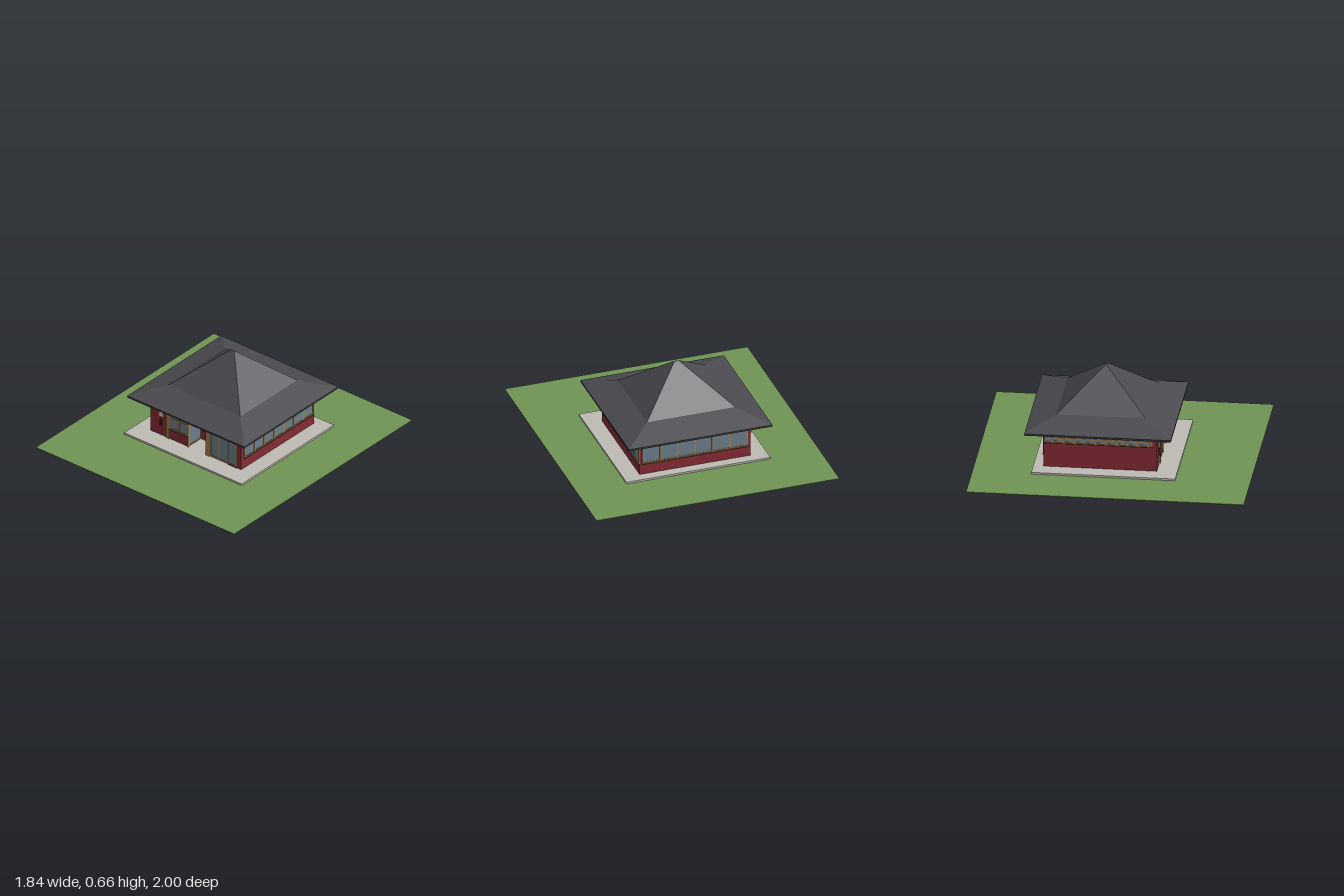
import * as THREE from 'three';

const mat = (name, color, side = THREE.FrontSide) => {
  const m = new THREE.MeshStandardMaterial({ color, side });
  m.name = name;
  return m;
};

export function createModel() {
  const grass = mat('grass green', 0x6f9455);
  const paving = mat('paving grey', 0xbebab4);
  const red = mat('wall red', 0x842a35);
  const wood = mat('wood', 0xa37d4e);
  const glass = mat('window glass', 0x6c7e89);
  const slate = mat('roof slate', 0x4b4a50);
  const fasciaDark = mat('fascia dark', 0x3a393e);
  const pale = mat('pale panel', 0xcac8c4);
  const brown = mat('door frame brown', 0x6a5238);
  const maroon = mat('dark maroon', 0x421a20);

  const model = new THREE.Group();
  model.name = 'pavilion';

  // box given by its extents
  const box = (parent, name, m, x0, x1, y0, y1, z0, z1) => {
    const mesh = new THREE.Mesh(new THREE.BoxGeometry(x1 - x0, y1 - y0, z1 - z0), m);
    mesh.position.set((x0 + x1) / 2, (y0 + y1) / 2, (z0 + z1) / 2);
    mesh.name = name;
    parent.add(mesh);
    return mesh;
  };

  // glazed strip facing local +z, centred on local x, with mullions and optional transoms
  const glazing = (name, x, z, turn, width, y0, y1, panes, transoms = [], sill = false) => {
    const g = new THREE.Group();
    g.name = name;
    const h = width / 2, b = 0.006;
    box(g, 'glass', glass, -h, h, y0, y1, -0.002, 0.003);
    for (let i = 0; i <= panes; i++) {
      const u = -h + b + (width - 2 * b) * i / panes;
      box(g, 'mullion', wood, u - b, u + b, y0, y1, -0.002, 0.007);
    }
    for (const y of [y0 + b, y1 - b, ...transoms])
      box(g, 'rail', wood, -h, h, y - b * 0.8, y + b * 0.8, -0.002, 0.006);
    if (sill) box(g, 'sill', brown, -h, h, y0 - 0.006, y0 + 0.002, -0.002, 0.011);
    g.position.set(x, 0, z);
    g.rotation.y = turn;
    model.add(g);
  };

  // site
  box(model, 'lawn', grass, -0.92, 0.92, 0, 0.006, -1, 1);
  box(model, 'pavedSlab', paving, -0.545, 0.545, 0.002, 0.02, -0.575, 0.462);

  // walls: floor plan with a recessed entrance
  const front = 0.315, back = -0.5, side = 0.42, recess = 0.17, top = 0.3;
  const doorL = -0.07, doorR = 0.098;
  const plan = new THREE.Shape([
    [-side, front], [doorL, front], [doorL, recess], [doorR, recess],
    [doorR, front], [side, front], [side, back], [-side, back],
  ].map(([x, z]) => new THREE.Vector2(x, -z)));
  const walls = new THREE.Mesh(
    new THREE.ExtrudeGeometry(plan, { depth: top - 0.015, bevelEnabled: false }), red);
  walls.rotation.x = -Math.PI / 2;
  walls.position.y = 0.015;
  walls.name = 'walls';
  model.add(walls);

  // windows on every side
  glazing('frontLeftWindow', -0.157, front, 0, 0.174, 0.105, top, 2, [0.247, 0.195], true);
  glazing('frontRightWindow', 0.257, front, 0, 0.256, 0.025, top, 3, [0.247]);
  glazing('sideWindowStrip', side, -0.105, Math.PI / 2, 0.78, 0.105, 0.25, 7, [], true);
  glazing('rearWindowStrip', 0, back, Math.PI, 0.8, 0.105, 0.25, 6, [], true);
  glazing('highWindowStrip', -side, -0.105, -Math.PI / 2, 0.78, 0.208, 0.25, 7, [], true);

  // entrance: glazed cheeks, transom lights and double door
  const midZ = (front + recess) / 2, depth = front - recess;
  glazing('entranceCheek', doorL, midZ, Math.PI / 2, depth, 0.025, top, 1, [0.247]);
  glazing('entranceCheek', doorR, midZ, -Math.PI / 2, depth, 0.025, top, 1, [0.247]);
  glazing('doorTransom', (doorL + doorR) / 2, recess, 0, doorR - doorL, 0.245, top, 2);
  const mid = (doorL + doorR) / 2, leaf = (doorR - doorL) / 2;
  for (const s of [-1, 1]) {
    const door = new THREE.Group();
    door.name = 'doorLeaf';
    door.position.set(mid + s * leaf / 2, 0, recess);
    const h = leaf / 2;
    box(door, 'doorFrame', brown, -h, h, 0.02, 0.245, -0.002, 0.004);
    box(door, 'doorPane', pale, -h + 0.006, h - 0.006, 0.1, 0.217, 0, 0.007);
    box(door, 'doorGlass', glass, -h + 0.006, h - 0.006, 0.222, 0.238, 0, 0.007);
    box(door, 'doorPanel', red, -h + 0.006, h - 0.006, 0.026, 0.092, 0, 0.007);
    box(door, 'doorHandle', maroon, -s * (h - 0.009) - 0.002, -s * (h - 0.009) + 0.002,
      0.1, 0.14, 0.005, 0.014);
    model.add(door);
  }

  // timber posts on the front
  box(model, 'frontPost', wood, -0.272, -0.244, 0.02, top, front - 0.004, front + 0.008);
  box(model, 'entrancePost', wood, doorR - 0.001, 0.13, 0.02, top, front - 0.02, front + 0.008);
  box(model, 'entrancePost', wood, doorL - 0.008, doorL + 0.004, 0.02, top, front - 0.01, front + 0.008);
  box(model, 'lowPlate', maroon, 0.302, 0.385, 0.022, 0.03, front, front + 0.008);

  // wall fittings
  box(model, 'wallPlaque', pale, -0.336, -0.303, 0.18, 0.208, front, front + 0.006);
  box(model, 'wallBox', maroon, -0.326, -0.313, 0.105, 0.158, front, front + 0.014);

  // hipped roof: stacked rectangles [halfX, halfZ, y], each band flat shaded
  const roofZ = -0.098;
  const roofBands = (name, m, loops, closeBottom) => {
    const p = [];
    const ring = ([a, c, y]) => [[-a, y, c], [a, y, c], [a, y, -c], [-a, y, -c]];
    const quad = (a, b, c, d) => p.push(...a, ...b, ...c, ...a, ...c, ...d);
    for (let i = 0; i + 1 < loops.length; i++) {
      const lo = ring(loops[i]), hi = ring(loops[i + 1]);
      for (let k = 0; k < 4; k++) quad(lo[k], lo[(k + 1) % 4], hi[(k + 1) % 4], hi[k]);
    }
    const r = ring(loops[0]);
    if (closeBottom) quad(r[3], r[2], r[1], r[0]);
    const t = ring(loops[loops.length - 1]);
    quad(t[0], t[1], t[2], t[3]);
    const geo = new THREE.BufferGeometry();
    geo.setAttribute('position', new THREE.Float32BufferAttribute(p, 3));
    geo.computeVertexNormals();
    const mesh = new THREE.Mesh(geo, m);
    mesh.name = name;
    mesh.position.z = roofZ;
    model.add(mesh);
  };
  roofBands('eavesFascia', fasciaDark,
    [[0.522, 0.508, 0.296], [0.53, 0.516, 0.302], [0.543, 0.528, 0.302], [0.543, 0.528, 0.316]], true);
  roofBands('roof', slate,
    [[0.543, 0.528, 0.3165], [0.335, 0.32, 0.39], [0.016, 0.002, 0.661]], false);

  return model;
}
